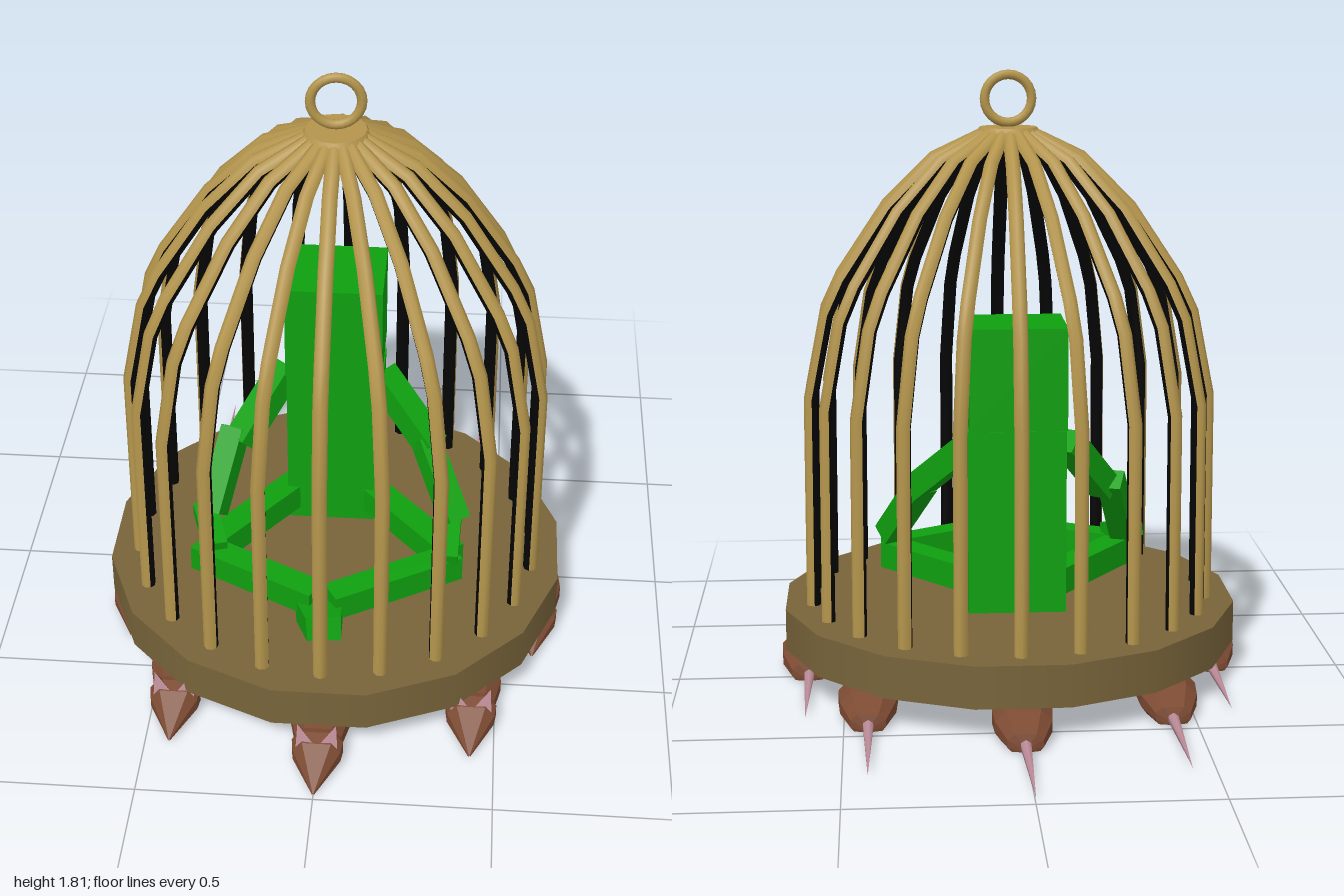
import * as THREE from 'three';

const mat = (name, color) => Object.assign(new THREE.MeshStandardMaterial({ color }), { name });
const V = (x, y, z) => new THREE.Vector3(x, y, z);

// Skin a list of rings (arrays of Vector3); open rings are left unjoined
function loft(rings, closed, flat) {
  const n = rings[0].length, index = [];
  for (let i = 0; i < rings.length - 1; i++) {
    for (let j = 0; j < (closed ? n : n - 1); j++) {
      const k = (j + 1) % n;
      const a = i * n + j, b = i * n + k, c = a + n, d = b + n;
      index.push(a, b, d, a, d, c);
    }
  }
  let g = new THREE.BufferGeometry().setFromPoints(rings.flat());
  g.setIndex(index);
  if (flat) g = g.toNonIndexed();
  g.computeVertexNormals();
  return g;
}

function flatten(g) {
  const f = g.toNonIndexed();
  f.computeVertexNormals();
  return f;
}

export function createModel() {
  const root = new THREE.Group();
  root.name = 'cageModel';
  const gold = mat('gold', 0xb4954c);
  const wood = mat('darkBrass', 0x78643a);
  const black = mat('black', 0x050505);
  const green = mat('green', 0x0fa00f);
  const fur = mat('brownFur', 0x7c4a32);
  const pink = mat('pink', 0xc08f9c);

  const add = (parent, name, geo, material, x = 0, y = 0, z = 0) => {
    const m = new THREE.Mesh(geo, material);
    m.name = name;
    m.position.set(x, y, z);
    parent.add(m);
    return m;
  };

  // Cage, centred on its own axis
  const cage = new THREE.Group();
  cage.name = 'cage';
  cage.position.z = 0.125;
  root.add(cage);
  const base = add(cage, 'base', new THREE.CylinderGeometry(0.69, 0.69, 0.125, 16), wood, 0, 0.1525, 0);
  base.rotation.y = Math.PI / 16;
  add(cage, 'topCap', new THREE.CylinderGeometry(0.085, 0.1, 0.025, 16), gold, 0, 1.63, 0);
  const ring = add(cage, 'hangingRing', new THREE.TorusGeometry(0.07, 0.014, 8, 24), gold, 0, 1.725, 0);
  ring.rotation.y = 0.08;

  // Bars: gold outer half, black inner half
  const profile = [[0.6, 0.21], [0.597, 0.85], [0.547, 1.1], [0.5, 1.2],
    [0.36, 1.41], [0.22, 1.55], [0.07, 1.622]].map(p => new THREE.Vector2(...p));
  const halfBar = start => loft(profile.map((p, i) => {
    const t = profile[Math.min(i + 1, profile.length - 1)].clone()
      .sub(profile[Math.max(i - 1, 0)]).normalize();
    return Array.from({ length: 5 }, (_, j) => {
      const a = start + j * Math.PI / 4, c = 0.021 * Math.cos(a);
      return V(0.021 * Math.sin(a), p.y - t.x * c, p.x + t.y * c);
    });
  }), false, false);
  const outer = halfBar(-Math.PI / 2), inner = halfBar(Math.PI / 2);
  for (let i = 0; i < 22; i++) {
    const bar = new THREE.Group();
    bar.name = 'bar';
    bar.rotation.y = i * Math.PI * 2 / 22;
    add(bar, 'barOutside', outer, gold);
    add(bar, 'barInside', inner, black);
    cage.add(bar);
  }

  // Seated block figure with crossed legs
  const figure = new THREE.Group();
  figure.name = 'figure';
  figure.position.x = -0.012;
  root.add(figure);
  add(figure, 'head', new THREE.BoxGeometry(0.285, 0.3, 0.26), green, 0, 0.94, -0.045);
  add(figure, 'torso', new THREE.BoxGeometry(0.29, 0.55, 0.145), green, 0, 0.5, -0.04);
  const limb = (name, a, b, w, h = w) => {
    const m = add(figure, name, new THREE.BoxGeometry(w, h, a.distanceTo(b)), green);
    m.position.copy(a).lerp(b, 0.5);
    m.lookAt(b);
  };
  for (const s of [1, -1]) {
    limb('upperArm', V(s * 0.14, 0.73, -0.05), V(s * 0.29, 0.555, 0.09), 0.075);
    limb('forearm', V(s * 0.285, 0.58, 0.07), V(s * 0.365, 0.38, 0.22), 0.07);
    limb('hand', V(s * 0.37, 0.385, 0.2), V(s * 0.34, 0.35, 0.36), 0.07, 0.04);
    limb('thigh', V(s * 0.1, 0.3, -0.03), V(s * 0.365, 0.3, 0.3), 0.08);
    limb('shin', V(s * 0.385, 0.302, 0.31), V(s * 0.02, 0.302, 0.51), 0.078);
    limb('foot', V(s * 0.03, 0.255, 0.49), V(s * 0.01, 0.285, 0.61), 0.08, 0.075);
  }

  // Rodents carrying the base: [z, half width, height] sections from tail to nose
  const bodyGeo = loft([[-0.165, 0.002, 0.01], [-0.155, 0.05, 0.05], [-0.07, 0.08, 0.085],
    [0.0, 0.085, 0.1], [0.08, 0.066, 0.09], [0.1, 0.073, 0.095], [0.135, 0.068, 0.085],
    [0.25, 0.002, 0.006]].map(([z, w, h]) =>
    [[0.8, 0], [1, 0.25], [1, 0.65], [0.6, 1], [-0.6, 1], [-1, 0.65], [-1, 0.25], [-0.8, 0]]
      .map(([x, y]) => V(x * w, y * h, z))), true, true);
  const tailGeo = new THREE.ConeGeometry(0.018, 0.39, 6).rotateX(-Math.PI / 2);
  const earBack = flatten(new THREE.ConeGeometry(0.037, 0.085, 2, 1, true, Math.PI / 3, Math.PI * 4 / 3));
  const earFront = flatten(new THREE.ConeGeometry(0.037, 0.085, 1, 1, true, -Math.PI / 3, Math.PI * 2 / 3));
  for (let i = 0; i < 8; i++) {
    const a = i * Math.PI / 4;
    const rodent = new THREE.Group();
    rodent.name = 'rodent';
    rodent.position.set(0.61 * Math.sin(a), 0, 0.125 + 0.61 * Math.cos(a));
    add(rodent, 'body', bodyGeo, fur);
    add(rodent, 'tail', tailGeo, pink, 0, 0.018, -0.325);
    for (const s of [1, -1]) {
      const ear = new THREE.Group();
      ear.name = 'ear';
      ear.position.set(s * 0.042, 0.1, 0.118);
      ear.rotation.z = -s * 0.3;
      add(ear, 'earBack', earBack, fur);
      add(ear, 'earFront', earFront, pink);
      rodent.add(ear);
    }
    root.add(rodent);
  }
  return root;
}
